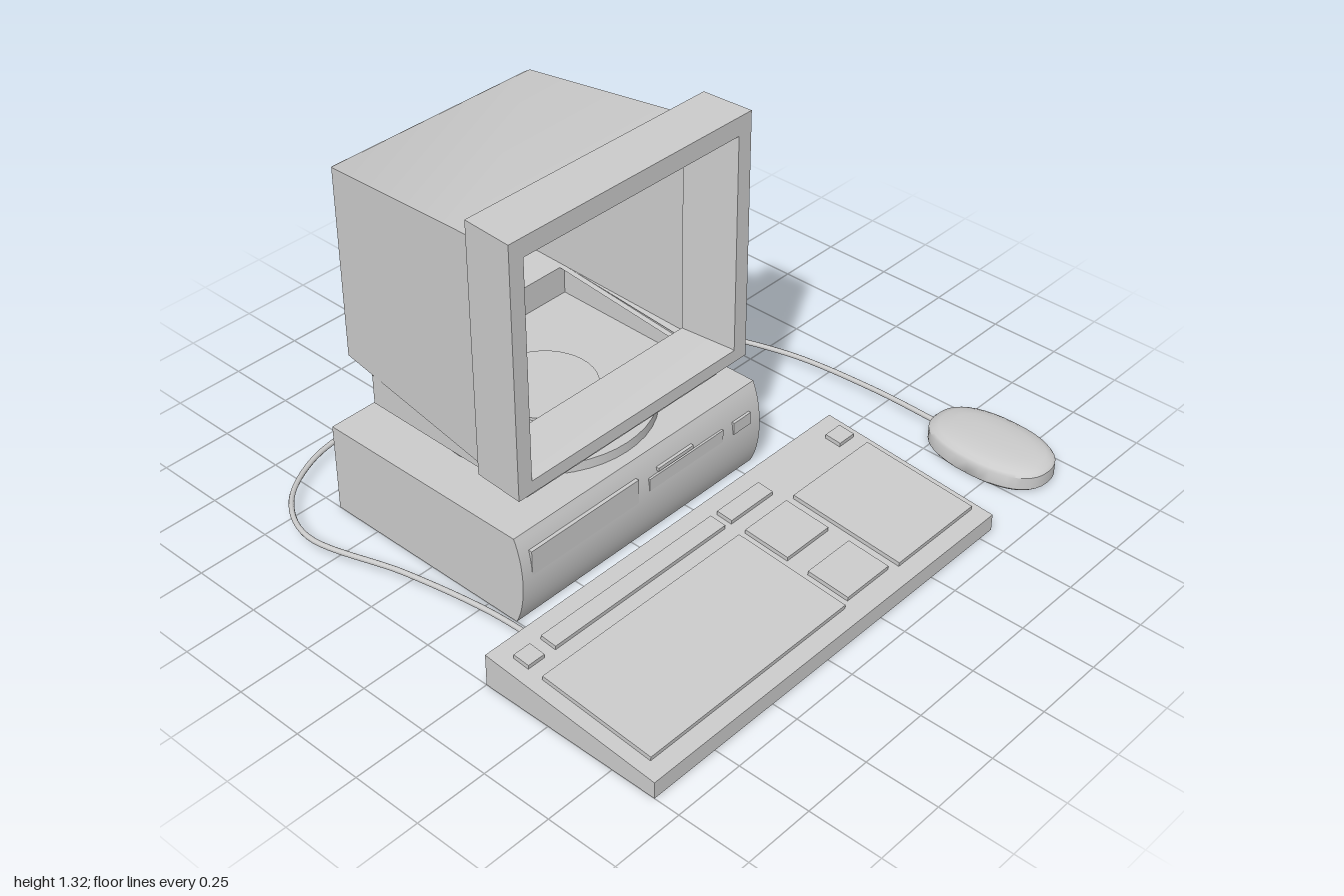
import * as THREE from 'three';
import { toCreasedNormals } from 'three/addons/utils/BufferGeometryUtils.js';

const material = new THREE.MeshStandardMaterial({ color: 0xcccccc, side: THREE.DoubleSide });

function add(parent, name, geometry, x = 0, y = 0, z = 0) {
  const mesh = new THREE.Mesh(geometry, material);
  mesh.name = name;
  mesh.position.set(x, y, z);
  parent.add(mesh);
  return mesh;
}

// Skins closed loops of [x, y, z] points; edges in skip stay open, cap closes the last loop.
function loft(loops, { skip = [], cap = false } = {}) {
  const out = [];
  const n = loops[0].length;
  for (let k = 0; k < loops.length - 1; k++) {
    for (let i = 0; i < n; i++) {
      if (skip.includes(i)) continue;
      const j = (i + 1) % n;
      const [a, b, c, d] = [loops[k][i], loops[k][j], loops[k + 1][j], loops[k + 1][i]];
      out.push(...a, ...b, ...c, ...a, ...c, ...d);
    }
  }
  const last = loops[loops.length - 1];
  if (cap) for (let i = 1; i < n - 1; i++) out.push(...last[0], ...last[i], ...last[i + 1]);
  const g = new THREE.BufferGeometry();
  g.setAttribute('position', new THREE.Float32BufferAttribute(out, 3));
  return toCreasedNormals(g, 0.6);
}

// Upright rectangle at a given x
const rectX = (x, y0, y1, z0, z1) => [[x, y0, z0], [x, y0, z1], [x, y1, z1], [x, y1, z0]];

// Side profile in x/y, extruded from z0 to z1
function slab(shape, z0, z1) {
  const g = new THREE.ExtrudeGeometry(shape, { depth: z1 - z0, bevelEnabled: false, curveSegments: 16 });
  g.translate(0, 0, z0);
  return toCreasedNormals(g, 0.5);
}

function cable(parent, name, points) {
  const curve = new THREE.CatmullRomCurve3(points.map((p) => new THREE.Vector3(...p)));
  add(parent, name, new THREE.TubeGeometry(curve, 64, 0.009, 8));
}

function buildMonitor() {
  const g = new THREE.Group();
  g.name = 'monitor';
  // Front frame with a sloping inner lip
  add(g, 'bezel', loft([
    rectX(-0.06, 0.51, 1.2, -0.18, 0.62),
    rectX(0.105, 0.49, 1.25, -0.22, 0.66),
    rectX(0.12, 0.485, 1.255, -0.225, 0.665),
    rectX(0.12, 0.44, 1.32, -0.28, 0.72),
    rectX(-0.06, 0.44, 1.32, -0.27, 0.71),
    rectX(-0.06, 0.51, 1.2, -0.18, 0.62),
  ]));
  // Hollow tapering housing, open towards the foot
  add(g, 'housing', loft([
    rectX(-0.06, 0.445, 1.245, -0.24, 0.68),
    rectX(-0.72, 0.51, 1.185, -0.19, 0.63),
    rectX(-0.73, 0.515, 1.18, -0.18, 0.62),
  ], { skip: [0], cap: true }));
  // Floor rim around the foot opening, following the slope of the housing
  const slope = (x) => 0.445 - (x + 0.06) * 0.0985;
  const loopY = (x0, x1, z0, z1, f) =>
    [[x0, f(x0), z0], [x0, f(x0), z1], [x1, f(x1), z1], [x1, f(x1), z0]];
  const floorOuter = loopY(-0.72, -0.06, -0.24, 0.68, slope);
  floorOuter[0][2] = -0.19;
  floorOuter[1][2] = 0.63;
  add(g, 'housingFloor', loft([floorOuter, loopY(-0.6, -0.06, -0.18, 0.62, slope)]));
  // Tray-shaped foot
  const trayBottom = (x) => 0.382 - (x - 0.07) * 0.015;
  add(g, 'foot', loft([
    loopY(-0.6, 0.07, -0.2, 0.64, (x) => Math.max(slope(x), 0.442)),
    loopY(-0.6, 0.07, -0.2, 0.64, trayBottom),
  ], { cap: true }));
  // Swivel stand
  add(g, 'swivelNeck', new THREE.CylinderGeometry(0.18, 0.18, 0.045, 40), -0.285, 0.3735, 0.22);
  add(g, 'swivelPlate', new THREE.CylinderGeometry(0.365, 0.365, 0.035, 48), -0.285, 0.337, 0.22);
  return g;
}

function buildCase() {
  const g = new THREE.Group();
  g.name = 'systemUnit';
  // Box with a bowed front
  const s = new THREE.Shape();
  s.moveTo(-0.68, 0);
  s.lineTo(0.12, 0);
  s.bezierCurveTo(0.162, 0.08, 0.168, 0.22, 0.122, 0.32);
  s.lineTo(-0.68, 0.32);
  s.closePath();
  add(g, 'case', slab(s, -0.32, 0.75));
  // Drive panel, disk slot with its lever, and power button: [name, z0, z1, y0, y1, front x]
  const panels = [
    ['drivePanel', 0.25, 0.71, 0.175, 0.265, 0.154],
    ['diskSlot', -0.14, 0.2, 0.193, 0.238, 0.155],
    ['diskLever', 0.0, 0.16, 0.245, 0.258, 0.154],
    ['powerButton', -0.27, -0.19, 0.193, 0.238, 0.157],
  ];
  for (const [name, z0, z1, y0, y1, x] of panels) {
    add(g, name, new THREE.BoxGeometry(0.03, y1 - y0, z1 - z0), x - 0.015, (y0 + y1) / 2, (z0 + z1) / 2);
  }
  return g;
}

function buildKeyboard() {
  const g = new THREE.Group();
  g.name = 'keyboard';
  // Wedge body
  const s = new THREE.Shape();
  s.moveTo(0.25, 0);
  s.lineTo(0.91, 0);
  s.lineTo(0.91, 0.06);
  s.lineTo(0.25, 0.116);
  s.closePath();
  add(g, 'keyboardBody', slab(s, -0.56, 1));
  // Key blocks lying on the slope: [x0, x1, z0, z1]
  const blocks = [
    [0.43, 0.85, 0.1, 0.95], [0.43, 0.85, -0.53, -0.16],
    [0.43, 0.6, -0.125, 0.07], [0.68, 0.835, -0.125, 0.07],
    [0.315, 0.375, 0.1, 0.84], [0.315, 0.375, -0.125, 0.07],
    [0.315, 0.375, -0.53, -0.46], [0.315, 0.375, 0.885, 0.95],
  ];
  const tilt = Math.atan2(0.056, 0.66);
  for (const [x0, x1, z0, z1] of blocks) {
    const x = (x0 + x1) / 2;
    const y = 0.116 - (x - 0.25) * Math.tan(tilt);
    const block = add(g, 'keyBlock', new THREE.BoxGeometry(x1 - x0, 0.03, z1 - z0), x, y, (z0 + z1) / 2);
    block.rotation.z = -tilt;
  }
  return g;
}

function buildMouse() {
  // Rounded oval rings from the flat base to the domed top: [scale, y]
  const profile = [[0.02, 0.002], [0.96, 0.002], [1, 0.01], [1, 0.055], [0.96, 0.065],
    [0.85, 0.074], [0.65, 0.081], [0.35, 0.085], [0.02, 0.086]];
  const soft = (v) => Math.sign(v) * Math.abs(v) ** 0.85;
  const loops = profile.map(([k, y]) => Array.from({ length: 40 }, (_, i) => {
    const a = (i / 40) * Math.PI * 2;
    return [0.685 + 0.225 * k * soft(Math.cos(a)), y, -0.866 - 0.134 * k * soft(Math.sin(a))];
  }));
  return loft(loops, { cap: true });
}

export function createModel() {
  const model = new THREE.Group();
  model.name = 'desktopComputer';
  model.add(buildMonitor(), buildCase(), buildKeyboard());
  add(model, 'mouse', buildMouse());
  cable(model, 'mouseCable', [
    [0.48, 0.032, -0.862], [0.2, 0.035, -0.86], [-0.16, 0.035, -0.82], [-0.46, 0.035, -0.7],
    [-0.68, 0.035, -0.47], [-0.77, 0.035, -0.2], [-0.778, 0.06, -0.02], [-0.745, 0.14, 0.09], [-0.67, 0.178, 0.12],
  ]);
  cable(model, 'keyboardCable', [
    [0.27, 0.04, 0.795], [0.05, 0.04, 0.805], [-0.25, 0.045, 0.86], [-0.6, 0.048, 0.95], [-0.77, 0.048, 0.87],
    [-0.88, 0.048, 0.69], [-0.9, 0.06, 0.52], [-0.85, 0.11, 0.4], [-0.77, 0.165, 0.34], [-0.67, 0.185, 0.325],
  ]);
  cable(model, 'monitorCable', [
    [-0.71, 0.62, 0.22], [-0.76, 0.595, 0.22], [-0.83, 0.51, 0.22], [-0.865, 0.39, 0.22],
    [-0.84, 0.27, 0.22], [-0.77, 0.195, 0.22], [-0.67, 0.175, 0.22],
  ]);
  return model;
}
